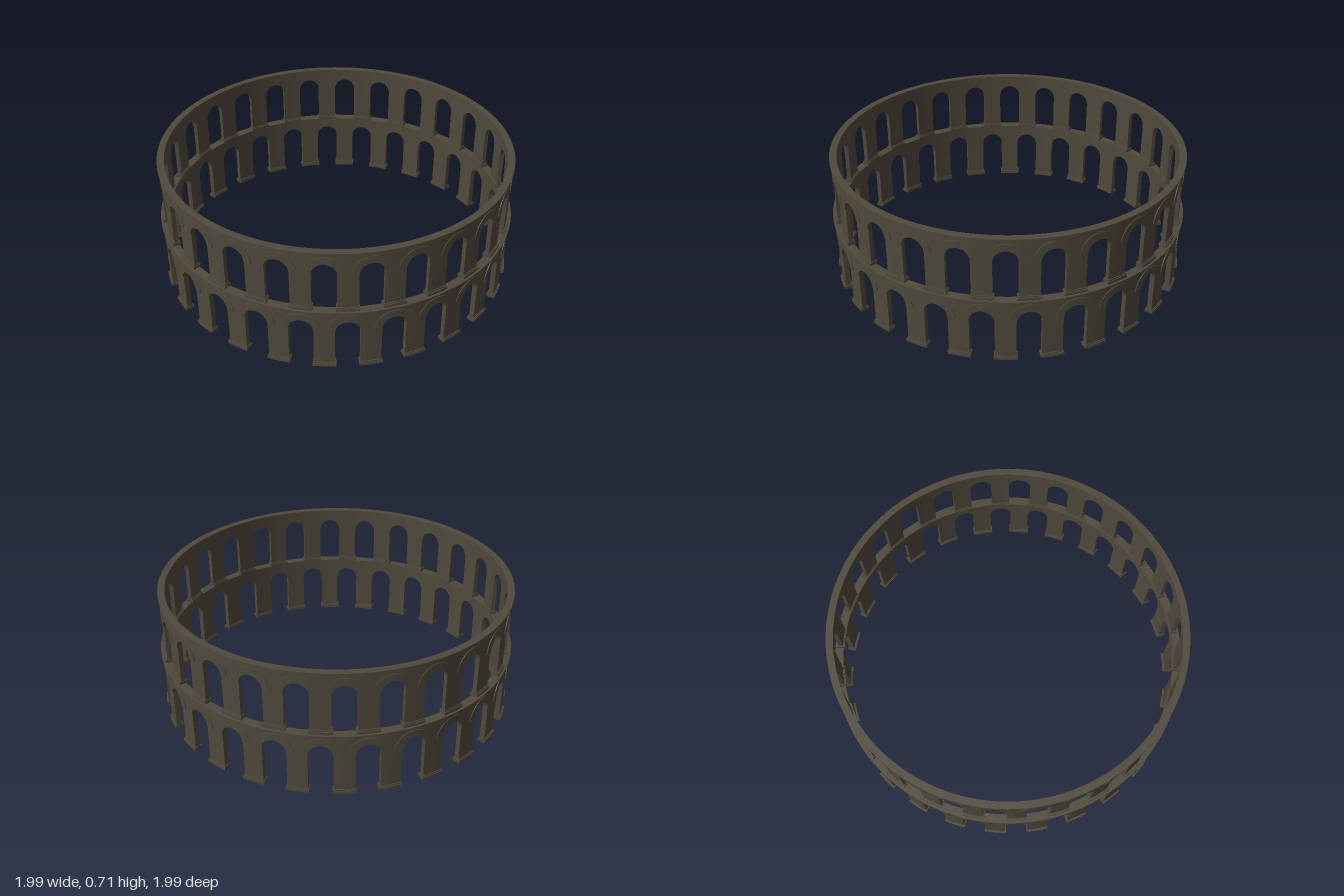
import * as THREE from 'three';
import { mergeGeometries, toCreasedNormals } from 'three/addons/utils/BufferGeometryUtils.js';

const BAYS = 26, STEP = (Math.PI * 2) / BAYS;
const RADIUS = 0.975;                       // arc lengths are measured here
const OPENING = 0.064, BAND = 0.105;        // arch radius, archivolt outer radius
const HALF_BAY = (STEP * RADIUS) / 2;

// Sweeps a rectangular section around the y axis; section(u) gives bottom and top heights
function sweep(us, rIn, rOut, section, caps = true) {
  const pos = [];
  const rings = us.map((u) => {
    const [b, t] = section(u), a = u / RADIUS, s = Math.sin(a), c = Math.cos(a);
    return [[rOut, b], [rOut, t], [rIn, t], [rIn, b]].map(([r, y]) => [r * s, y, r * c]);
  });
  const quad = (a, b, c, d) => pos.push(...a, ...b, ...c, ...a, ...c, ...d);
  for (let i = 0; i < rings.length - 1; i++) {
    const p = rings[i], q = rings[i + 1];
    for (let j = 0; j < 4; j++) {
      const k = (j + 1) % 4;
      quad(p[j], q[j], q[k], p[k]);
    }
  }
  if (caps) {
    const e = rings[rings.length - 1];
    quad(...rings[0]);
    quad(e[3], e[2], e[1], e[0]);
  }
  const g = new THREE.BufferGeometry();
  g.setAttribute('position', new THREE.Float32BufferAttribute(pos, 3));
  return g;
}

const spread = (a, b, n) => Array.from({ length: n + 1 }, (_, i) => a + ((b - a) * i) / n);
const arcSamples = (r, n) => spread(Math.PI, 0, n).map((t) => r * Math.cos(t));
const arcHeight = (u, r) => Math.sqrt(Math.max(0, r * r - u * u));

// Repeats one bay around the ring
function repeat(geometry, phase) {
  const copies = [];
  for (let i = 0; i < BAYS; i++) copies.push(geometry.clone().rotateY(phase + i * STEP));
  return toCreasedNormals(mergeGeometries(copies), 0.6);
}

export function createModel() {
  const model = new THREE.Group();
  model.name = 'arcadeRing';
  const stone = new THREE.MeshStandardMaterial({ color: 0x504a3c });
  stone.name = 'dark stone';

  function add(parent, name, geometry) {
    const mesh = new THREE.Mesh(geometry, stone);
    mesh.name = name;
    parent.add(mesh);
  }

  function cornice(name, rIn, rOut, y0, y1) {
    const full = spread(0, Math.PI * 2 * RADIUS, 104);
    add(model, name, toCreasedNormals(sweep(full, rIn, rOut, () => [y0, y1], false), 0.6));
  }

  function storey(name, { base, spring, top, rIn, rOut, phase }) {
    const group = new THREE.Group();
    group.name = name;
    model.add(group);

    // Piers between the openings
    const pierUs = spread(OPENING, 2 * HALF_BAY - OPENING, 4);
    add(group, 'piers', repeat(sweep(pierUs, rIn, rOut, () => [base, top]), phase));

    // Wall above each arch
    const archUs = arcSamples(OPENING, 16);
    const overArch = (u) => [spring + arcHeight(u, OPENING), top];
    add(group, 'spandrels', repeat(sweep(archUs, rIn, rOut, overArch, false), phase));

    // Raised band around each arch
    const bandUs = [...archUs, ...arcSamples(BAND, 20).filter((u) => Math.abs(u) > OPENING + 0.001)]
      .sort((a, b) => a - b);
    const band = (u) => [spring + arcHeight(u, OPENING), spring + arcHeight(u, BAND)];
    add(group, 'archBands', repeat(sweep(bandUs, rOut - 0.002, rOut + 0.004, band, false), phase));

    // Stepped plinth under each pier
    const plinth = (grow, out, y0, y1) => sweep(
      spread(OPENING - grow, 2 * HALF_BAY - OPENING + grow, 4),
      rIn - out, rOut + out, () => [base + y0, base + y1]);
    add(group, 'plinths', repeat(
      mergeGeometries([plinth(0.006, 0.01, 0, 0.016), plinth(0.003, 0.005, 0.016, 0.023)]), phase));
  }

  storey('lowerArcade', { base: 0, spring: 0.23, top: 0.35, rIn: 0.957, rOut: 0.985, phase: 0.052 });
  storey('upperArcade', { base: 0.358, spring: 0.58, top: 0.705, rIn: 0.95, rOut: 0.974, phase: 0.052 - STEP / 2 });

  // Ledges closing each storey
  cornice('middleCorniceLower', 0.952, 0.99, 0.343, 0.35);
  cornice('middleCornice', 0.948, 0.997, 0.35, 0.359);
  cornice('topCorniceLower', 0.948, 0.978, 0.698, 0.705);
  cornice('topCornice', 0.945, 0.984, 0.705, 0.714);
  return model;
}
